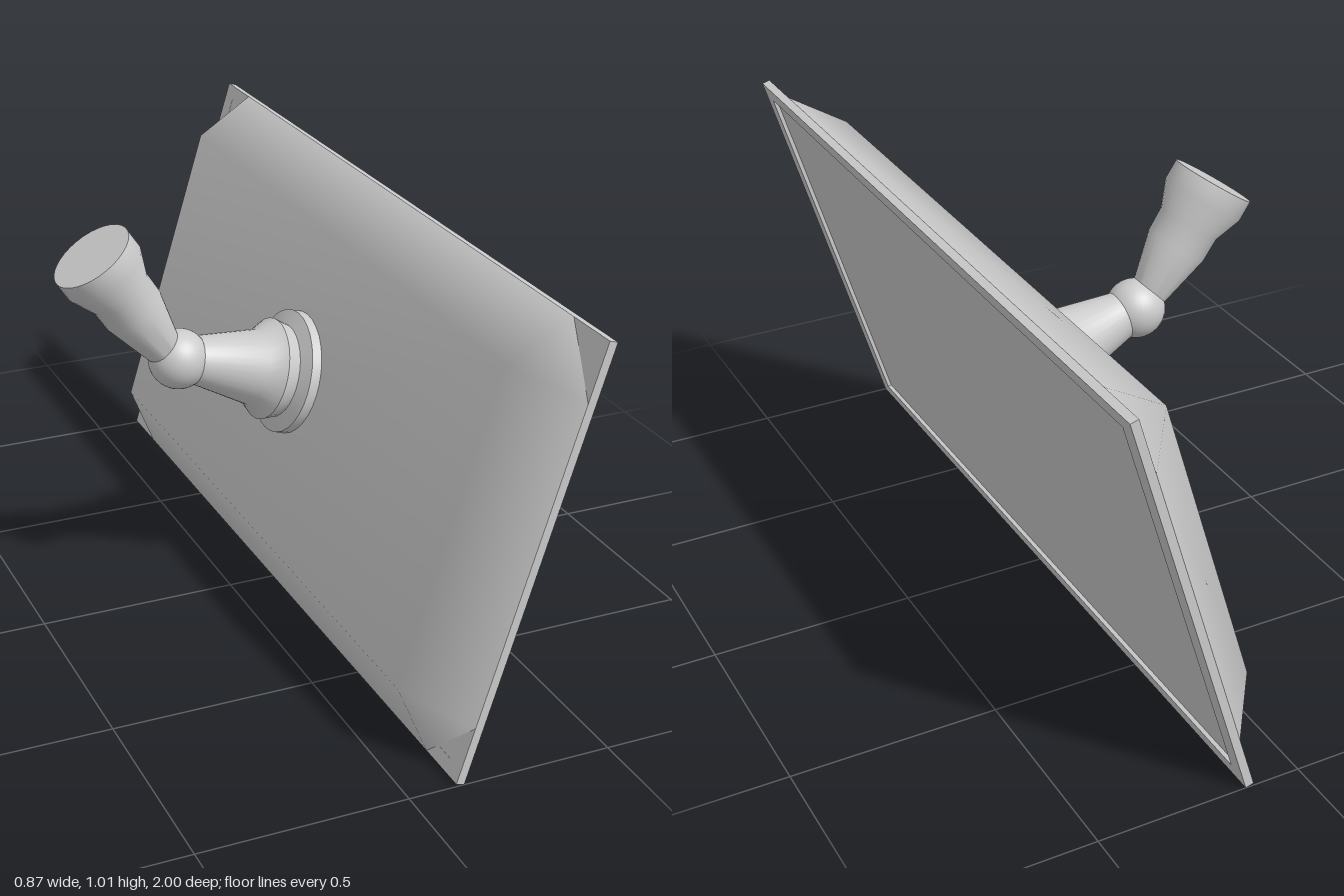
import * as THREE from 'three';
import { toCreasedNormals } from 'three/addons/utils/BufferGeometryUtils.js';

const H = 1.046;       // panel height along its tilt
const FRAME = 0.0205;  // frame thickness
const TILT = 0.291;    // lean of the panel from vertical

const material = new THREE.MeshStandardMaterial({ color: 0xcccccc });

function mesh(name, geometry, parent) {
  const m = new THREE.Mesh(geometry, material);
  m.name = name;
  parent.add(m);
  return m;
}

// Turned part: profile of [radius, height], its axis pointing along (dx, dy)
function turned(name, profile, x, y, dx, dy, parent) {
  const points = profile.map(([r, h]) => new THREE.Vector2(r, h));
  const m = mesh(name, toCreasedNormals(new THREE.LatheGeometry(points, 32), 0.9), parent);
  m.position.set(x, y, 0);
  m.rotation.z = Math.atan2(-dx, dy);
}

// Bevelled rear housing: octagonal rim, rectangular back
function housingGeometry() {
  const c = 0.14, depth = 0.118, zBack = 0.845;
  const rim = [
    [-1, c], [-1 + c, 0], [1 - c, 0], [1, c],
    [1, H - c], [1 - c, H], [-1 + c, H], [-1, H - c],
  ];
  const back = [[-zBack, 0.144], [zBack, 0.144], [zBack, 0.917], [-zBack, 0.917]];
  const positions = [];
  rim.forEach(([z, y]) => positions.push(0, y, z));
  back.forEach(([z, y]) => positions.push(-depth, y, z));
  const index = [8, 9, 10, 8, 10, 11];
  for (let i = 0; i < 4; i++) {
    const a = 2 * i, b = a + 1, next = (a + 2) % 8;
    const t = 8 + i, tNext = 8 + (i + 1) % 4;
    index.push(a, b, t);                        // cut corner
    index.push(b, next, tNext, b, tNext, t);    // sloping side
  }
  const g = new THREE.BufferGeometry();
  g.setAttribute('position', new THREE.Float32BufferAttribute(positions, 3));
  g.setIndex(index);
  g.computeVertexNormals();
  return g;
}

function rectangle(path, z, y0, y1) {
  path.moveTo(-z, y0);
  path.lineTo(z, y0);
  path.lineTo(z, y1);
  path.lineTo(-z, y1);
  path.closePath();
  return path;
}

export function createModel() {
  const model = new THREE.Group();
  model.name = 'wallMountedDisplay';

  // Tilted panel, facing +x
  const panel = new THREE.Group();
  panel.name = 'panel';
  panel.position.set(0.115, 0.006, 0);
  panel.rotation.z = -TILT;
  model.add(panel);

  const outline = rectangle(new THREE.Shape(), 1, 0, H);
  outline.holes.push(rectangle(new THREE.Path(), 0.953, 0.035, H - 0.035));
  const frame = new THREE.ExtrudeGeometry(outline, { depth: FRAME, bevelEnabled: false });
  frame.rotateY(Math.PI / 2);
  mesh('frame', frame, panel);

  const screen = mesh('screen', new THREE.BoxGeometry(0.01, H - 0.06, 1.92), panel);
  screen.position.set(0.0055, H / 2, 0);

  mesh('rearHousing', housingGeometry(), panel);

  // Stepped socket on the back of the panel
  turned('mountSocket', [
    [0, -0.01], [0.153, -0.01], [0.153, 0.025], [0.116, 0.038], [0.126, 0.073],
    [0.094, 0.109], [0.059, 0.268], [0, 0.268],
  ], 0.161, 0.571, -0.958, 0.287, model);

  // Ball joint
  const ball = mesh('ballJoint', new THREE.SphereGeometry(0.074, 32, 20), model);
  ball.position.set(-0.136, 0.657, 0);

  // Flared arm ending in a flat cap
  turned('wallArm', [
    [0, 0.03], [0.046, 0.046], [0.077, 0.18], [0.078, 0.24],
    [0.104, 0.308], [0.1035, 0.36], [0, 0.36],
  ], -0.149, 0.653, -0.556, 0.831, model);

  return model;
}
